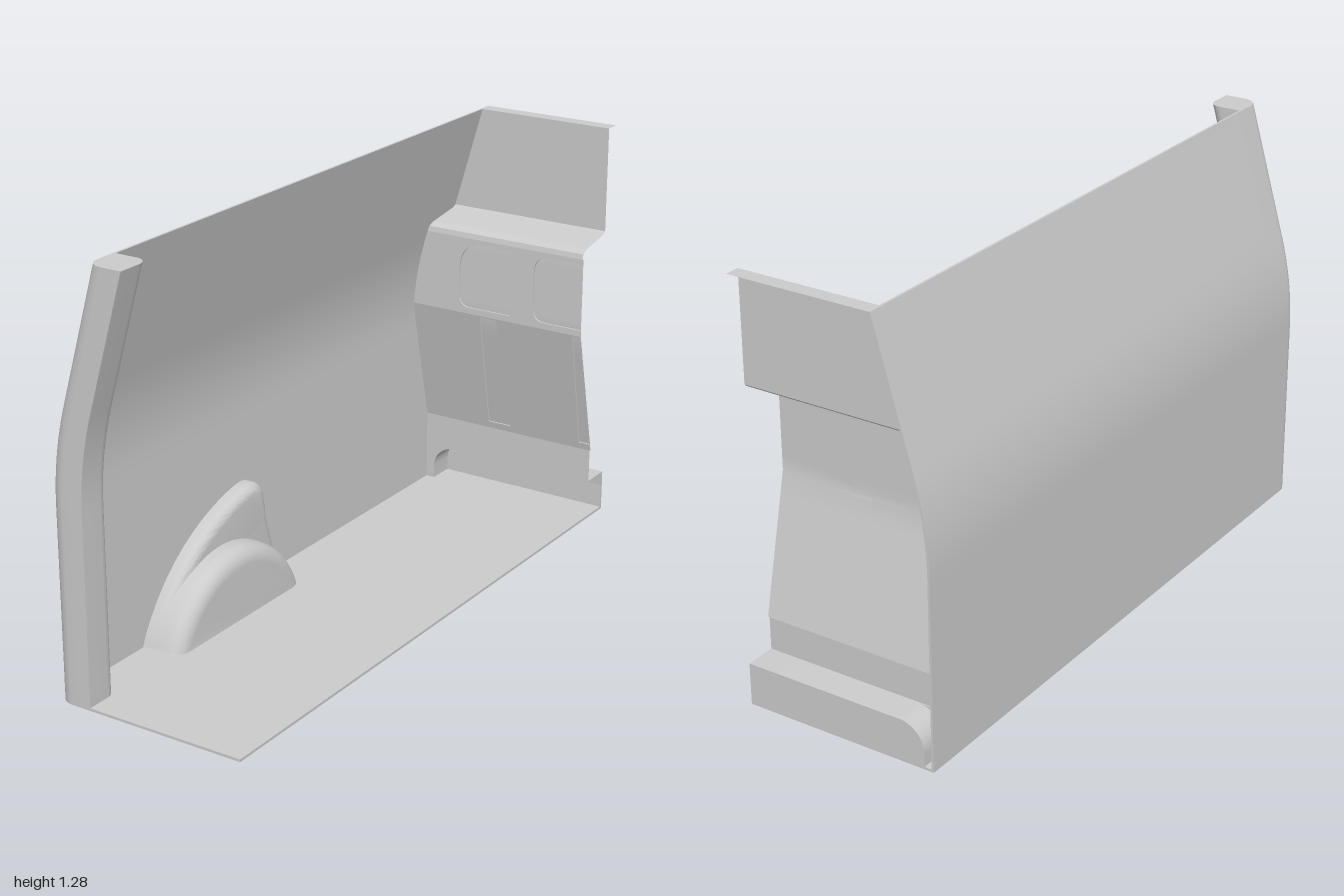
import * as THREE from 'three';
import { toCreasedNormals } from 'three/addons/utils/BufferGeometryUtils.js';

const H = 1.285, RIGHT = 0.31, SKIN = 0.007;
const mat = new THREE.MeshStandardMaterial({ color: 0xcccccc, side: THREE.DoubleSide });

// Outer x of the side wall: upright, then a soft bend, then leaning inward
function wallX(y) {
  if (y < 0.58) return -0.31;
  if (y < 0.87) return -0.31 + 0.5 * (y - 0.58) ** 2;
  return -0.31 + 0.29 * (y - 0.725);
}

// Move every vertex by a rule
function warp(geo, rule) {
  const p = geo.attributes.position, v = new THREE.Vector3();
  for (let i = 0; i < p.count; i++) {
    v.fromBufferAttribute(p, i);
    rule(v);
    p.setXYZ(i, v.x, v.y, v.z);
  }
  return geo;
}

function part(name, geo, crease = 0.5) {
  const mesh = new THREE.Mesh(toCreasedNormals(geo, crease), mat);
  mesh.name = name;
  return mesh;
}

const extrude = (shape, depth, extra = {}) =>
  new THREE.ExtrudeGeometry(shape, { depth, bevelEnabled: false, curveSegments: 10, ...extra });

// Floor with the rounded front corner (plan drawn as x, -z)
function floor() {
  const s = new THREE.Shape();
  s.moveTo(-0.31, 1);
  s.lineTo(-0.31, -0.95);
  s.absarc(-0.26, -0.95, 0.05, Math.PI, Math.PI * 1.5, false);
  s.lineTo(RIGHT, -1);
  s.lineTo(RIGHT, 1);
  return part('floor', extrude(s, 0.008).rotateX(-Math.PI / 2));
}

// Side wall and front pillar: one plan section swept up the wall curve
function wallAndPillar() {
  const s = new THREE.Shape();
  s.moveTo(-0.31, 1);
  s.lineTo(-0.31, -0.95);
  s.absarc(-0.26, -0.95, 0.05, Math.PI, Math.PI * 1.5, false);
  s.lineTo(-0.195, -1);
  s.lineTo(-0.195, -0.925);
  s.absarc(-0.235, -0.925, 0.04, 0, Math.PI / 2, false);
  s.lineTo(-0.31 + SKIN, -0.885);
  s.lineTo(-0.31 + SKIN, 1);
  const geo = extrude(s, H, { steps: 48 }).rotateX(-Math.PI / 2);
  return part('sideWallAndPillar', warp(geo, v => { v.x += wallX(v.y) + 0.31; }));
}

// Rounded lump on the wall, from an outline drawn as (-z, y)
function wallLump(name, shape, innerX, bevel) {
  const geo = extrude(shape, 0.31 + innerX, {
    bevelEnabled: true, bevelThickness: bevel, bevelSize: bevel,
    bevelOffset: -bevel, bevelSegments: 6, curveSegments: 40,
  });
  geo.rotateY(Math.PI / 2).translate(-0.31 - bevel, 0, 0);
  return part(name, warp(geo, v => {
    v.x = Math.max(v.x, -0.306);
    v.y = Math.max(v.y, 0.004);
  }), 0.6);
}

function wheelArch() {
  const g = new THREE.Group();
  g.name = 'wheelArch';
  const R = 0.3295, cy = -0.1045, a = Math.asin(-cy / R);
  const arch = new THREE.Shape();
  arch.moveTo(-0.635, -0.08);
  arch.lineTo(-0.01, -0.08);
  arch.absarc(-0.3225, cy, R, a, Math.PI - a, false);
  g.add(wallLump('archHousing', arch, -0.175, 0.05));

  const fin = new THREE.Shape();
  fin.moveTo(-0.635, -0.08);
  fin.lineTo(-0.01, -0.08);
  fin.lineTo(-0.01, 0);
  fin.lineTo(-0.077, 0.23);
  fin.bezierCurveTo(-0.09, 0.31, -0.085, 0.365, -0.17, 0.355);
  fin.bezierCurveTo(-0.35, 0.325, -0.55, 0.21, -0.635, 0);
  g.add(wallLump('archFin', fin, -0.25, 0.03));
  return g;
}

// Thin sheet following [y, z] stations from the wall to the open side
function sheet(name, stations, sub = 6) {
  const rows = [stations[0]];
  for (let i = 1; i < stations.length; i++) {
    const [a, b] = [stations[i - 1], stations[i]];
    for (let k = 1; k <= sub; k++)
      rows.push([0, 1].map(j => a[j] + (b[j] - a[j]) * k / sub));
  }
  const geo = new THREE.PlaneGeometry(1, 1, 1, rows.length - 1);
  const p = geo.attributes.position;
  rows.forEach(([y, z], i) => {
    p.setXYZ(i * 2, wallX(y) + 0.003, y, z);
    p.setXYZ(i * 2 + 1, RIGHT, y, z);
  });
  return part(name, geo);
}

// Raised plate on the bulkhead with recesses cut through it
function plate(name, y0, y1, z0, z1, notch, hole) {
  const s = new THREE.Shape();
  s.moveTo(wallX(y0) + 0.003, y0);
  s.lineTo(RIGHT, y0);
  notch(s);
  s.lineTo(RIGHT, y1);
  for (let i = 0; i < 10; i++) {
    const y = y1 + (y0 - y1) * i / 10;
    s.lineTo(wallX(y) + 0.003, y);
  }
  s.holes.push(hole);
  const geo = extrude(s, 0.006);
  return part(name, warp(geo, v => {
    v.z += z0 + (z1 - z0) * (v.y - y0) / (y1 - y0) - 0.006;
  }));
}

function bulkhead() {
  const g = new THREE.Group();
  g.name = 'bulkhead';
  g.add(sheet('bulkheadSheet', [
    [H, -1], [H, -0.953], [0.957, -0.953], [0.949, -0.944], [0.927, -0.828], [0.917, -0.814],
    [0.9, -0.81], [0.9, -0.816], [0.65, -0.816], [0.235, -0.911], [0.235, -0.905], [0.122, -0.905],
  ]));

  // Upper plate: rounded panels
  const panel = new THREE.Path();
  panel.moveTo(-0.09, 0.67);
  panel.lineTo(0.045, 0.67);
  panel.quadraticCurveTo(0.085, 0.67, 0.085, 0.71);
  panel.lineTo(0.085, 0.835);
  panel.quadraticCurveTo(0.085, 0.885, 0.035, 0.885);
  panel.lineTo(-0.04, 0.885);
  panel.quadraticCurveTo(-0.13, 0.885, -0.13, 0.795);
  panel.lineTo(-0.13, 0.71);
  panel.quadraticCurveTo(-0.13, 0.67, -0.09, 0.67);
  g.add(plate('upperPlate', 0.65, 0.9, -0.81, -0.81, s => {
    s.lineTo(RIGHT, 0.67);
    s.lineTo(0.18, 0.67);
    s.quadraticCurveTo(0.14, 0.67, 0.14, 0.71);
    s.lineTo(0.14, 0.83);
    s.quadraticCurveTo(0.14, 0.885, 0.195, 0.885);
    s.lineTo(RIGHT, 0.885);
  }, panel));

  // Lower sloping plate: tapered slots
  const slot = new THREE.Path([[-0.063, 0.258], [0.018, 0.258], [0.006, 0.645], [-0.053, 0.645]]
    .map(([x, y]) => new THREE.Vector2(x, y)));
  g.add(plate('lowerPlate', 0.235, 0.65, -0.905, -0.81, s => {
    s.lineTo(RIGHT, 0.258);
    s.lineTo(0.272, 0.258);
    s.lineTo(0.282, 0.645);
    s.lineTo(RIGHT, 0.645);
  }, slot));
  return g;
}

// Foot box behind the bulkhead, rounded at its wall end
function footBox() {
  const g = new THREE.Group();
  g.name = 'footBox';
  const cornerTo = (s, d) => {
    s.lineTo(-0.28 + d, 0.05);
    s.absarc(-0.2, 0.05, 0.08 - d, Math.PI, Math.PI / 2, true);
  };
  const back = new THREE.Shape();
  back.moveTo(-0.28, 0);
  cornerTo(back, 0);
  back.lineTo(RIGHT, 0.13);
  back.lineTo(RIGHT, 0);
  g.add(part('footBack', extrude(back, 0.008).translate(0, 0, -1)));

  const rim = new THREE.Shape();
  rim.moveTo(-0.28, 0);
  cornerTo(rim, 0);
  rim.lineTo(RIGHT, 0.13);
  rim.lineTo(RIGHT, 0.124);
  rim.lineTo(-0.2, 0.124);
  rim.absarc(-0.2, 0.05, 0.074, Math.PI / 2, Math.PI, false);
  rim.lineTo(-0.274, 0);
  g.add(part('footRim', extrude(rim, 0.095).translate(0, 0, -1)));

  // Sloping ceiling of the recess, drawn as (-z, y)
  const wedge = new THREE.Shape([[0.906, 0.124], [0.993, 0.085], [0.993, 0.124]]
    .map(([x, y]) => new THREE.Vector2(x, y)));
  g.add(part('footCeiling', extrude(wedge, 0.53).rotateY(Math.PI / 2).translate(-0.22, 0, 0)));

  // Flat web between the wall and the recess
  const web = new THREE.Shape();
  web.moveTo(-0.307, 0);
  web.lineTo(-0.28, 0);
  cornerTo(web, 0);
  web.lineTo(-0.307, 0.13);
  g.add(part('footWeb', extrude(web, 0.004).translate(0, 0, -0.909)));
  return g;
}

export function createModel() {
  const model = new THREE.Group();
  model.name = 'cargoBayCorner';
  model.add(floor(), wallAndPillar(), wheelArch(), bulkhead(), footBox());
  return model;
}
